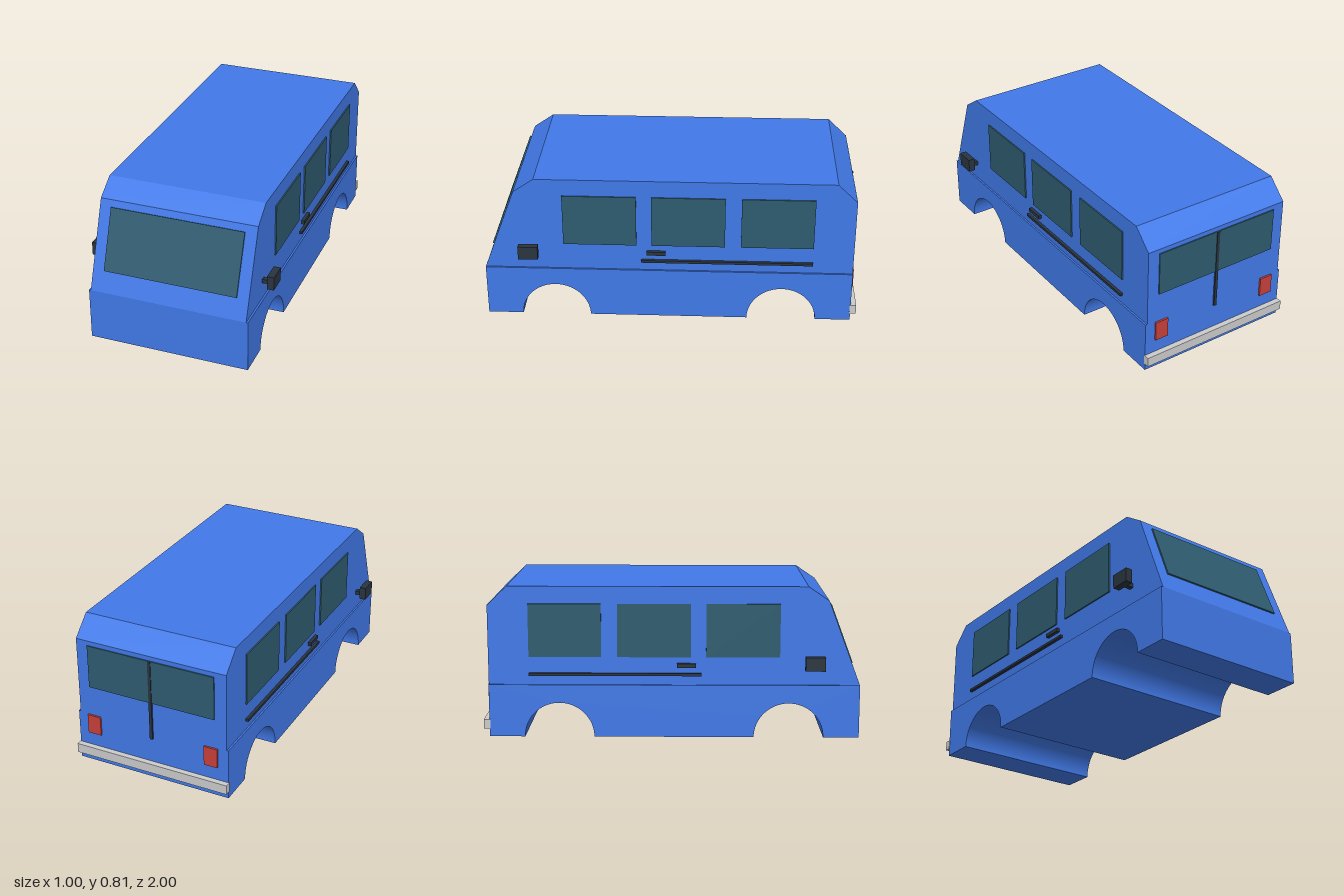
import * as THREE from 'three';

const paint = (color) => new THREE.MeshStandardMaterial({ color, flatShading: true });

export function createModel() {
  const van = new THREE.Group();
  van.name = 'van';
  const blue = paint(0x4179e8);
  const glass = paint(0x2e5c70);
  const black = paint(0x2a343f);
  const red = paint(0xc8403a);
  const grey = paint(0xcccccc);

  function add(name, geometry, material) {
    const mesh = new THREE.Mesh(geometry, material);
    mesh.name = name;
    van.add(mesh);
    return mesh;
  }

  // Box given by its lower and upper limits on each axis
  function block(name, material, [x0, x1], [y0, y1], [z0, z1]) {
    const mesh = add(name, new THREE.BoxGeometry(x1 - x0, y1 - y0, z1 - z0), material);
    mesh.position.set((x0 + x1) / 2, (y0 + y1) / 2, (z0 + z1) / 2);
    return mesh;
  }

  // Side profile drawn in (z, y) and extruded across the width
  function slab(name, shape, width) {
    const geometry = new THREE.ExtrudeGeometry(shape, { depth: width, bevelEnabled: false, curveSegments: 24 });
    geometry.translate(0, 0, -width / 2).rotateY(-Math.PI / 2);
    return add(name, geometry, blue);
  }

  // Lower body with wheel arches cut right through
  const waist = 0.283, arch = 0.185;
  const lower = new THREE.Shape();
  lower.moveTo(-0.97, 0);
  for (const z of [-0.595, 0.625]) {
    lower.lineTo(z - arch, 0);
    lower.absarc(z, 0, arch, Math.PI, 0, true);
  }
  lower.lineTo(1, 0);
  lower.lineTo(1, waist);
  lower.lineTo(-0.97, waist);
  lower.closePath();
  slab('lowerBody', lower, 0.866);

  // Cabin with sloped nose and chamfered roof ends
  const cabin = new THREE.Shape([
    [-0.97, waist], [1, waist], [0.83, 0.735], [0.72, 0.81], [-0.865, 0.81], [-0.97, 0.71],
  ].map(([z, y]) => new THREE.Vector2(z, y)));
  slab('cabin', cabin, 0.846);

  // Windscreen lying on the sloped nose
  const windscreen = add('windscreen', new THREE.BoxGeometry(0.72, 0.331, 0.012), glass);
  windscreen.position.set(0, 0.545, 0.903);
  windscreen.rotation.x = -Math.atan2(0.17, 0.452);

  // Parts mirrored on both sides
  for (const [side, s] of [['left', 1], ['right', -1]]) {
    const pair = (name, material, [a, b], y, z) =>
      block(side + name, material, s > 0 ? [a, b] : [-b, -a], y, z);

    [[0.185, 0.575], [-0.285, 0.105], [-0.755, -0.37]].forEach((z, i) =>
      pair('SideWindow' + (i + 1), glass, [0.415, 0.43], [0.433, 0.718], z));
    pair('DoorRail', black, [0.42, 0.439], [0.333, 0.347], [-0.755, 0.16]);
    pair('DoorHandle', black, [0.42, 0.441], [0.379, 0.4], [0.03, 0.13]);
    pair('MirrorArm', black, [0.41, 0.47], [0.376, 0.398], [0.742, 0.768]);
    pair('MirrorHead', black, [0.463, 0.5], [0.373, 0.447], [0.705, 0.81]);
    pair('TailLight', red, [0.3, 0.375], [0.17, 0.278], [-0.98, -0.96]);
  }

  // Rear window, door seam and bumper
  block('rearWindow', glass, [-0.358, 0.358], [0.445, 0.685], [-0.976, -0.96]);
  block('rearDoorSeam', black, [-0.008, 0.008], [0.233, 0.685], [-0.98, -0.96]);
  block('rearBumper', grey, [-0.436, 0.436], [0.042, 0.094], [-1, -0.965]);

  return van;
}
